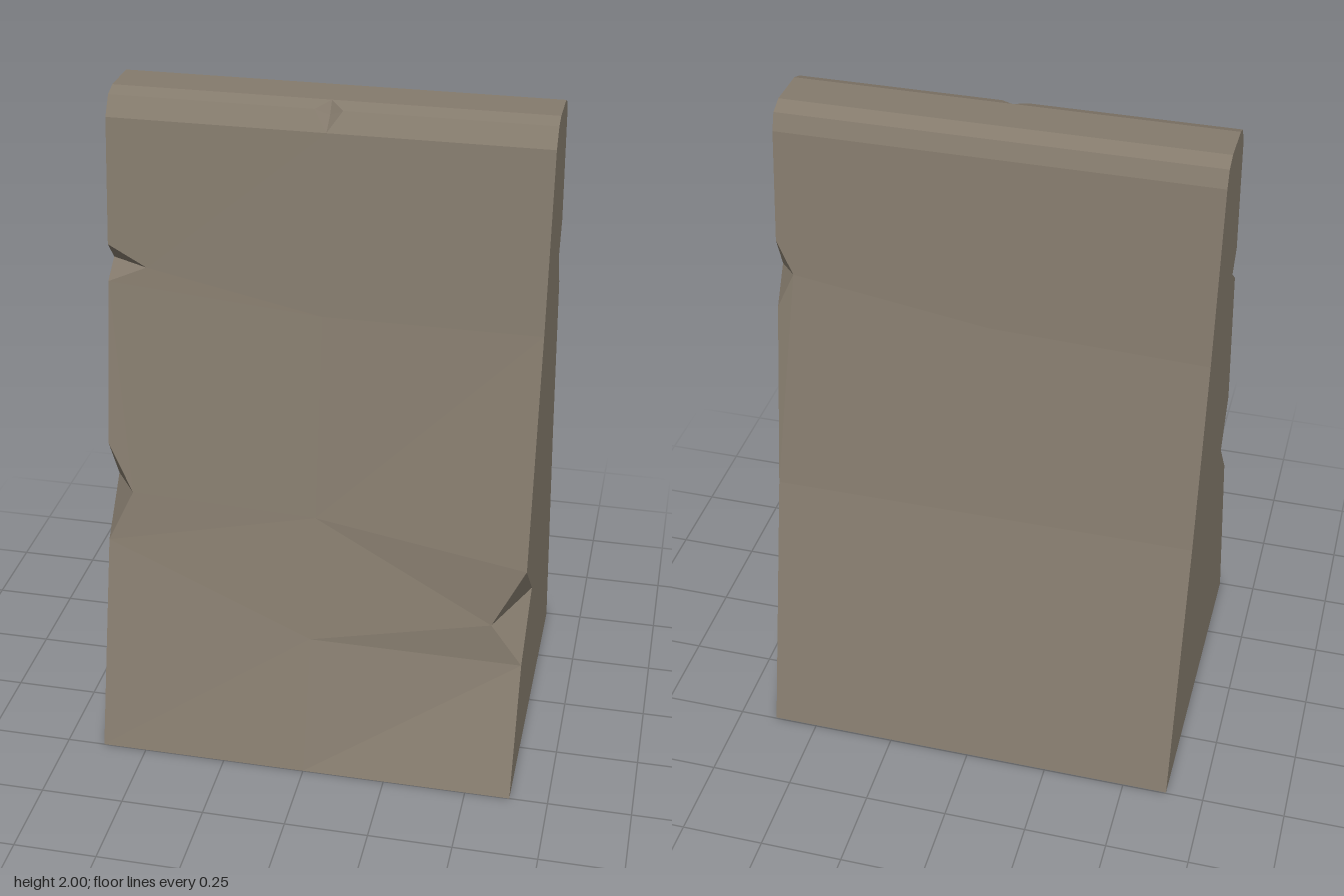
import * as THREE from 'three';

const W = 0.635;
const P = (x, y, z) => new THREE.Vector3(x, y, z);

// Triangulates a polygon seen along an axis and turns it to face outwards.
function addFace(out, pts, dir) {
  const ax = Math.abs(dir.x), ay = Math.abs(dir.y), az = Math.abs(dir.z);
  const flat = pts.map(p => ax > ay && ax > az ? new THREE.Vector2(p.z, p.y)
    : ay > az ? new THREE.Vector2(p.x, p.z) : new THREE.Vector2(p.x, p.y));
  for (const t of THREE.ShapeUtils.triangulateShape(flat, [])) {
    const [a, b, c] = t.map(i => pts[i]);
    const n = b.clone().sub(a).cross(c.clone().sub(a));
    for (const p of n.dot(dir) < 0 ? [a, c, b] : [a, b, c]) out.push(p.x, p.y, p.z);
  }
}

export function createModel() {
  const group = new THREE.Group();
  const stone = new THREE.MeshStandardMaterial({ color: 0x857b6d, flatShading: true, side: THREE.DoubleSide });
  stone.name = 'weathered stone';

  function part(name, faces) {
    const out = [];
    for (const [pts, dir] of faces) addFace(out, pts, dir);
    const g = new THREE.BufferGeometry();
    g.setAttribute('position', new THREE.Float32BufferAttribute(out, 3));
    g.computeVertexNormals();
    const mesh = new THREE.Mesh(g, stone);
    mesh.name = name;
    group.add(mesh);
  }

  // Chips: top and bottom on the corner edge, tip on the wall, depth on the end
  const chip = (top, bottom, tip, deep) => ({ top, bottom, tip, deep });
  const upper = chip(P(-W, 1.56, 0.18), P(-W, 1.45, 0.195), P(-0.52, 1.5, 0.187), P(-W, 1.5, 0.13));
  const middle = chip(P(-W, 0.96, 0.283), P(-W, 0.65, 0.33), P(-0.56, 0.81, 0.305), P(-W, 0.81, 0.2));
  const lower = chip(P(W, 0.7, 0.33), P(W, 0.38, 0.347), P(0.54, 0.51, 0.345), P(W, 0.52, 0.135));
  const rear = chip(P(W, 1.6, -0.175), P(W, 1.39, -0.2), P(0.585, 1.5, -0.187), P(W, 1.5, -0.135));

  // Front wall, with a dented centre line
  const front = P(0, 0, 1), back = P(0, 0, -1), up = P(0, 1, 0.3);
  const l0 = P(-W, 0, 0.5), lT = P(-W, 1.93, 0.135);
  const r0 = P(W, 0, 0.5), r3 = P(W, 1.4, 0.2), rT = P(W, 1.93, 0.135);
  const [m0, m1, m2, m3, m4] = [[0, 0.5], [0.41, 0.385], [0.79, 0.305], [1.4, 0.2], [1.93, 0.135]]
    .map(([y, z]) => P(0, y, z));
  part('frontWall', [
    [l0, m0, m1, middle.bottom],
    [middle.bottom, m1, m2, middle.tip],
    [middle.tip, m2, m3, upper.tip, upper.bottom, middle.top],
    [upper.tip, m3, m4, lT, upper.top],
    [m0, r0, lower.bottom, m1],
    [m1, lower.bottom, lower.tip, m2],
    [m2, lower.tip, lower.top, r3, m3],
    [m3, r3, rT, m4],
  ].map(f => [f, front]));

  // Back wall
  const backEdge = x => [[1.93, -0.135], [1.4, -0.2], [0.82, -0.305], [0, -0.497]].map(([y, z]) => P(x, y, z));
  const [blT, bl2, bl1, bl0] = backEdge(-W);
  const [brT, , br1, br0] = backEdge(W);
  const bm = P(0, 1.42, -0.197);
  part('backWall', [
    [bl0, bl1, br1, br0],
    [bl1, bl2, bm, rear.tip, rear.bottom, br1],
    [bl2, blT, brT, rear.top, rear.tip, bm],
  ].map(f => [f, back]));

  // Rounded cap with a small nick in the front edge
  const capEdge = x => [[1.985, 0.1], [2, 0.058], [2, -0.073], [1.98, -0.117]].map(([y, z]) => P(x, y, z));
  const capL = capEdge(-W), capR = capEdge(W);
  const cap = [];
  const nickTop = P(0, 2, 0.058), nickDeep = P(0, 1.965, 0.085);
  for (const [s, c, t] of [[-1, capL, lT], [1, capR, rT]]) {
    const side = P(s * 0.04, 1.985, 0.1);
    cap.push([[t, m4, side, c[0]], front], [[c[0], side, nickTop, c[1]], up]);
    cap.push([[m4, nickDeep, side], front], [[side, nickDeep, nickTop], up]);
  }
  cap.push([[capL[1], nickTop, capR[1], capR[2], capL[2]], up]);
  cap.push([[capL[2], capR[2], capR[3], capL[3]], P(0, 1, -0.3)]);
  cap.push([[capL[3], capR[3], brT, blT], back]);
  part('cap', cap);

  // End walls, cut by the chips
  part('rightEnd', [[[l0, middle.bottom, middle.deep, middle.top, upper.bottom, upper.deep, upper.top, lT,
    ...capL, blT, bl2, bl1, bl0], P(-1, 0, 0)]]);
  part('leftEnd', [[[r0, lower.bottom, lower.deep, lower.top, r3, rT,
    ...capR, brT, rear.top, rear.deep, rear.bottom, br1, br0], P(1, 0, 0)]]);

  // Inner faces of the chips
  const chips = [];
  for (const [c, sx, sz] of [[upper, -1, 1], [middle, -1, 1], [lower, 1, 1], [rear, 1, -1]]) {
    chips.push([[c.top, c.tip, c.deep], P(sx * 0.5, -0.4, sz)], [[c.bottom, c.tip, c.deep], P(sx * 0.5, 0.4, sz)]);
  }
  part('chips', chips);

  return group;
}
